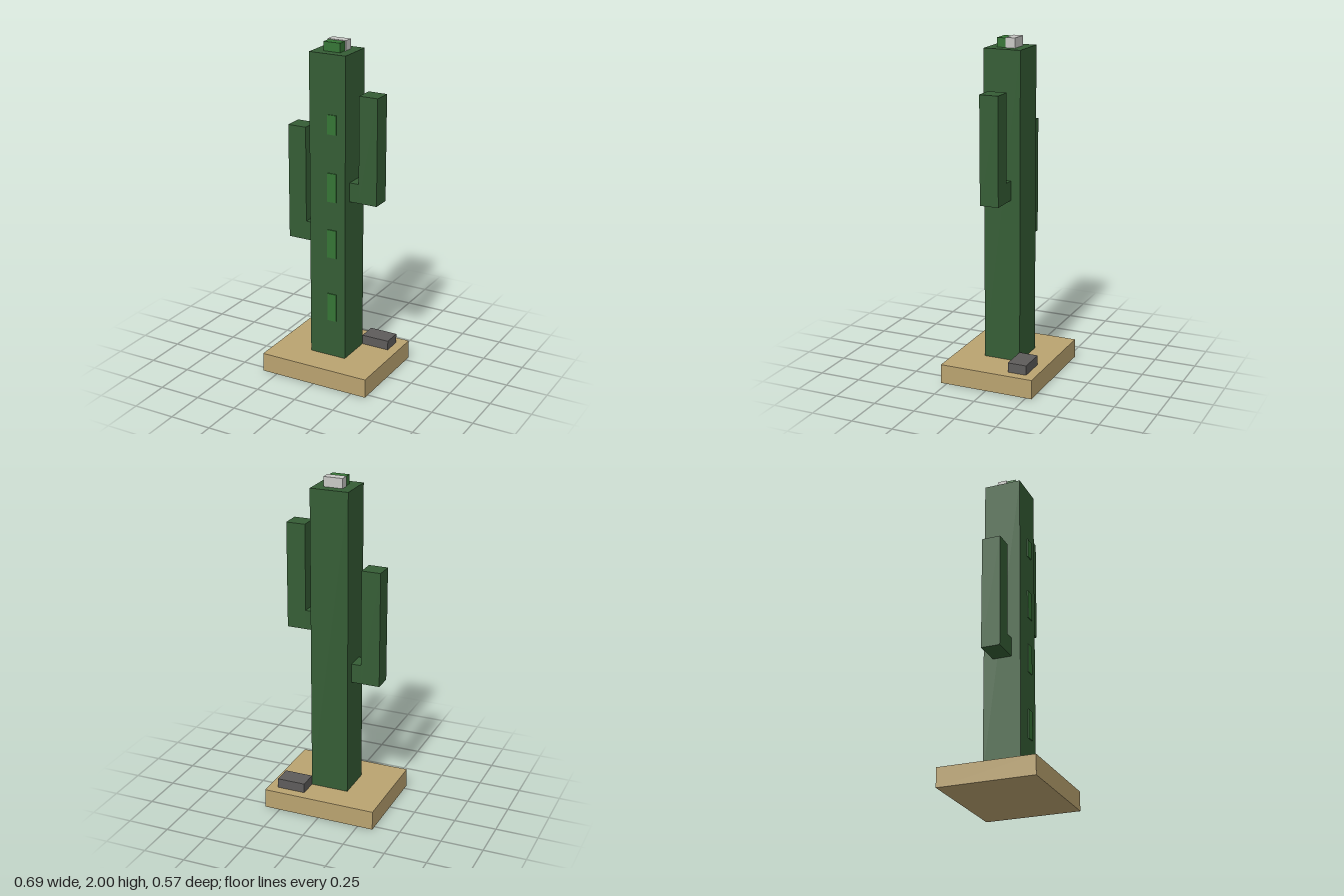
import * as THREE from 'three';

const U = 2 / 35; // one block unit

function material(name, color) {
  const m = new THREE.MeshStandardMaterial({ color });
  m.name = name;
  return m;
}

export function createModel() {
  const group = new THREE.Group();
  const sand = material('sand', 0xbaa370);
  const darkGreen = material('cactus green', 0x355d35);
  const lightGreen = material('light green', 0x357535);
  const stoneGrey = material('stone grey', 0x5e5c5b);
  const paleGrey = material('flower white', 0xc8c8c5);

  // Box between two corners given in block units
  function block(name, mat, [x0, y0, z0], [x1, y1, z1], parent = group) {
    const geo = new THREE.BoxGeometry((x1 - x0) * U, (y1 - y0) * U, (z1 - z0) * U);
    const mesh = new THREE.Mesh(geo, mat);
    mesh.position.set((x0 + x1) / 2 * U, (y0 + y1) / 2 * U, (z0 + z1) / 2 * U);
    mesh.name = name;
    parent.add(mesh);
  }

  // Ground and stone
  block('sandBase', sand, [-6, 0, -5], [6, 2, 5]);
  block('stone', stoneGrey, [2, 2, -4], [5, 3, -2]);

  // Trunk
  block('trunk', darkGreen, [-2, 2, -2], [2, 34, 1.9]);

  // Arms: a short elbow out of the trunk, then an upright
  const arms = [['leftArm', 1, 19, 30], ['rightArm', -1, 14, 26]];
  for (const [name, side, y0, y1] of arms) {
    const arm = new THREE.Group();
    arm.name = name;
    const span = (a, b) => (side > 0 ? [a, b] : [-b, -a]);
    const [e0, e1] = span(2, 3);
    const [u0, u1] = span(3, 5);
    block(name + 'Elbow', darkGreen, [e0, y0, -1], [e1, y0 + 2, 0.97], arm);
    block(name + 'Upright', darkGreen, [u0, y0, -1], [u1, y1, 0.97], arm);
    group.add(arm);
  }

  // Light ribs up the front
  for (const [y0, y1] of [[6, 9], [13, 16], [19, 22], [26, 28]]) {
    block('rib', lightGreen, [0, y0, 1.9], [1, y1, 2]);
  }

  // Flower and bud on the top
  block('flower', paleGrey, [-1, 34, -1], [1, 35, 0]);
  block('bud', lightGreen, [-0.9, 34, 0], [0.9, 34.93, 0.97]);

  return group;
}
